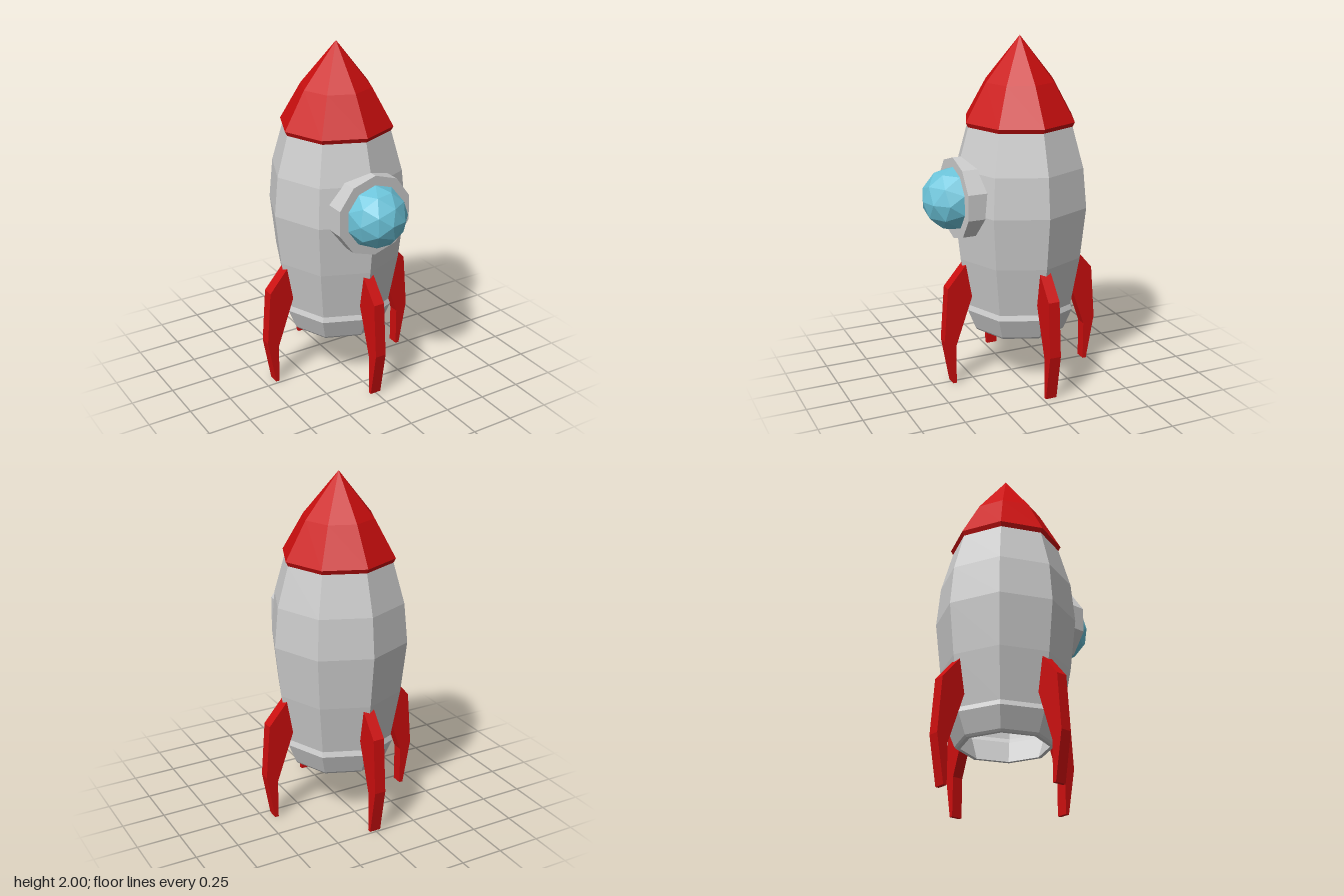
import * as THREE from 'three';

const mat = (color, side = THREE.FrontSide) =>
  new THREE.MeshStandardMaterial({ color, flatShading: true, side });

function add(parent, name, geometry, material) {
  const mesh = new THREE.Mesh(geometry, material);
  mesh.name = name;
  parent.add(mesh);
  return mesh;
}

const points = (list) => list.map(([x, y]) => new THREE.Vector2(x, y));

// Eight-sided turned part, with a corner facing the front
const turned = (profile) => new THREE.LatheGeometry(points(profile), 8);

// Regular polygon with a corner pointing up
function polygon(radius, sides) {
  const list = [];
  for (let i = 0; i < sides; i++) {
    const a = Math.PI / 2 + (i / sides) * Math.PI * 2;
    list.push([radius * Math.cos(a), radius * Math.sin(a)]);
  }
  return points(list);
}

export function createModel() {
  const model = new THREE.Group();
  model.name = 'rocket';
  const rocket = new THREE.Group();
  rocket.name = 'hullAssembly';
  rocket.position.z = -0.05;
  model.add(rocket);

  const grey = mat(0xcccccc);
  const red = mat(0xcc0e0e);
  const glass = mat(0x6cc4da);

  // Barrel-shaped hull
  add(rocket, 'hull', turned([
    [0.315, 0.46], [0.367, 0.75], [0.4, 1.05], [0.378, 1.28], [0.312, 1.51],
  ]), mat(0xcccccc, THREE.DoubleSide));

  // Hollow exhaust skirt
  add(rocket, 'exhaustSkirt', turned([
    [0.315, 0.46], [0.29, 0.43], [0.245, 0.3], [0.268, 0.3],
    [0.278, 0.312], [0.326, 0.43], [0.315, 0.46],
  ]), grey);

  // Nose cone with a bevelled lower rim
  add(rocket, 'noseCone', turned([
    [0, 1.51], [0.312, 1.51], [0.325, 1.535], [0.203, 1.75], [0, 2],
  ]), red);

  // Four landing fins, one on each hull corner along the axes
  const thickness = 0.066;
  const finShape = new THREE.Shape(points([
    [0.415, 0], [0.437, 0], [0.485, 0.27], [0.46, 0.59],
    [0.335, 0.737], [0.3, 0.56], [0.415, 0.23],
  ]));
  const finGeometry = new THREE.ExtrudeGeometry(finShape, { depth: thickness, bevelEnabled: false });
  finGeometry.translate(0, 0, -thickness / 2);
  ['leftFin', 'backFin', 'rightFin', 'frontFin'].forEach((name, i) => {
    add(rocket, name, finGeometry, red).rotation.y = (i * Math.PI) / 2;
  });

  // Ten-sided window frame sunk into the hull
  const porthole = new THREE.Group();
  porthole.name = 'porthole';
  porthole.position.set(0, 1.115, 0.356);
  model.add(porthole);
  const frameShape = new THREE.Shape(polygon(0.235, 10));
  frameShape.holes.push(new THREE.Path(polygon(0.165, 10)));
  const frame = new THREE.ExtrudeGeometry(frameShape, { depth: 0.14, bevelEnabled: false });
  frame.translate(0, 0, -0.14);
  add(porthole, 'windowFrame', frame, grey);

  // Faceted glass dome with one corner facing forward
  const dome = new THREE.IcosahedronGeometry(0.18, 1);
  dome.rotateX(Math.atan(2 / (1 + Math.sqrt(5))));
  dome.rotateZ(Math.PI / 2);
  add(porthole, 'windowDome', dome, glass);

  return model;
}
